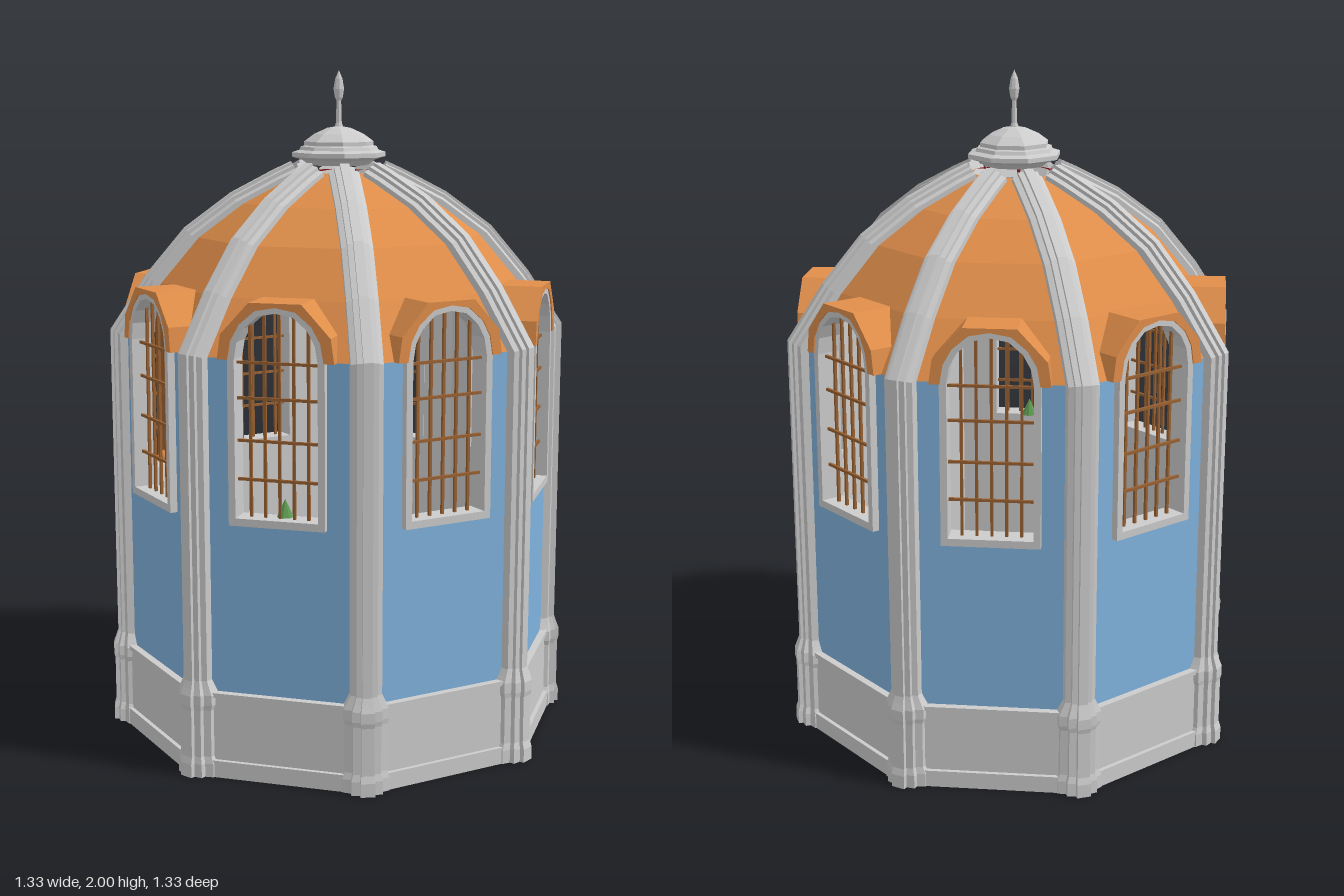
import * as THREE from 'three';

const grey = new THREE.MeshStandardMaterial({ color: 0xcccccc, flatShading: true });
const paint = (color, side = THREE.FrontSide) =>
  new THREE.MeshStandardMaterial({ color, side, flatShading: true });
const blue = paint(0x7fb2dd), orange = paint(0xe08e4a), copper = paint(0x9a6233);
const green = paint(0x5f9a52), red = paint(0xcc1f2a, THREE.BackSide);
const greyInside = paint(0xcccccc, THREE.BackSide);

const STEP = Math.PI / 4, TAN = Math.tan(STEP / 2), COS = Math.cos(STEP / 2);
const WALL = 0.61, SPRING = 1.22;
// Dome profile: [height, apothem]
const DOME = [[SPRING, WALL], [1.375, 0.515], [1.51, 0.41], [1.61, 0.285], [1.675, 0.17], [1.7, 0.12]];
const lowerDome = (y) => THREE.MathUtils.mapLinear(y, DOME[0][0], DOME[1][0], DOME[0][1], DOME[1][1]);

function add(parent, name, geometry, material, x = 0, y = 0, z = 0) {
  const mesh = new THREE.Mesh(geometry, material);
  mesh.name = name;
  mesh.position.set(x, y, z);
  parent.add(mesh);
  return mesh;
}

const shapeOf = (points) => new THREE.Shape(points.map(([x, y]) => new THREE.Vector2(x, y)));
const extrude = (shape, depth) => new THREE.ExtrudeGeometry(shape, { depth, bevelEnabled: false });

// Arch running from right spring to left spring
function arch(w, top) {
  const h = top - SPRING;
  const half = [[1, 0], [0.93, 0.37], [0.75, 0.67], [0.42, 0.93]].map(([a, b]) => [a * w, SPRING + b * h]);
  return [...half, [0, top], ...half.map(([x, y]) => [-x, y]).reverse()];
}
const windowOutline = (w, sill, top) => [[-w, sill], [w, sill], ...arch(w, top)];

// Sweeps a moulded section along [radius, height, scale] points in the z-y plane
const SECTION = [[-0.045, -0.04], [-0.045, 0.005], [-0.03, 0.012], [-0.03, 0.022], [-0.014, 0.025], [-0.014, 0.034],
  [0.014, 0.034], [0.014, 0.025], [0.03, 0.022], [0.03, 0.012], [0.045, 0.005], [0.045, -0.04]];
function sweep(path) {
  const pos = [], index = [], n = SECTION.length;
  const normal = (a, b) => new THREE.Vector2(b[1] - a[1], a[0] - b[0]).normalize();
  path.forEach(([r, y, s], i) => {
    const before = normal(path[Math.max(i - 1, 0)], path[Math.max(i, 1)]);
    const after = i < path.length - 1 ? normal(path[i], path[i + 1]) : before;
    const m = before.clone().add(after).normalize();
    m.divideScalar(m.dot(after));
    for (const [u, d] of SECTION) pos.push(u * s, y + m.y * d * s, r + m.x * d * s);
    if (i === 0) return;
    for (let j = 0; j < n; j++) {
      const k = (j + 1) % n, a = (i - 1) * n, b = i * n;
      index.push(a + j, a + k, b + k, a + j, b + k, b + j);
    }
  });
  // End caps
  const last = (path.length - 1) * n;
  for (const base of [0, last]) {
    const c = pos.length / 3;
    pos.push(0, (pos[base * 3 + 1] + pos[(base + n - 1) * 3 + 1]) / 2, pos[base * 3 + 2]);
    for (let j = 0; j < n - 1; j++) {
      if (base) index.push(c, base + j, base + j + 1);
      else index.push(c, j + 1, j);
    }
  }
  const g = new THREE.BufferGeometry();
  g.setAttribute('position', new THREE.Float32BufferAttribute(pos, 3));
  g.setIndex(index);
  g.computeVertexNormals();
  return g;
}

// One dome panel band, optionally notched for the window
function domeBand(i) {
  const [[y0, a0], [y1, a1]] = [DOME[i], DOME[i + 1]];
  const w0 = a0 * TAN, w1 = a1 * TAN;
  const points = [[w0, y0], [w1, y1], [-w1, y1], [-w0, y0]];
  if (i === 0) points.push(...arch(0.135, 1.368).reverse());
  const g = new THREE.ShapeGeometry(shapeOf(points));
  const p = g.attributes.position;
  for (let k = 0; k < p.count; k++) p.setZ(k, THREE.MathUtils.mapLinear(p.getY(k), y0, y1, a0, a1));
  g.computeVertexNormals();
  return g;
}

// Dormer hood whose back edge follows the dome
function hoodGeometry() {
  const outer = [[-0.168, SPRING], [-0.158, 1.29], [-0.075, 1.38], [0.075, 1.38], [0.158, 1.29], [0.168, SPRING]];
  const g = extrude(shapeOf([...outer, ...arch(0.138, 1.368)]), 1);
  const p = g.attributes.position;
  for (let k = 0; k < p.count; k++) p.setZ(k, p.getZ(k) > 0.5 ? 0.636 : lowerDome(p.getY(k)) - 0.012);
  g.computeVertexNormals();
  return g;
}

export function createModel() {
  const model = new THREE.Group();
  model.name = 'octagonalPavilion';

  const w = WALL * TAN;
  const wallShape = shapeOf([[-w, 0], [w, 0], [w, SPRING], [0.13, SPRING], [0.13, 0.76],
    [-0.13, 0.76], [-0.13, SPRING], [-w, SPRING]]);
  const wall = extrude(wallShape, 0.045);
  const lining = new THREE.ShapeGeometry(wallShape);
  const frameShape = shapeOf(windowOutline(0.14, 0.75, 1.37));
  frameShape.holes.push(shapeOf(windowOutline(0.12, 0.772, 1.352)));
  const frame = extrude(frameShape, 0.072);
  const hood = hoodGeometry();
  const bands = DOME.slice(1).map((_, i) => domeBand(i));

  // Eight sides
  for (let i = 0; i < 8; i++) {
    const side = new THREE.Group();
    side.name = 'side';
    side.rotation.y = i * STEP;
    model.add(side);
    add(side, 'wall', wall, blue, 0, 0, WALL - 0.045);
    add(side, 'wallLining', lining, greyInside, 0, 0, WALL - 0.047);
    add(side, 'plinth', new THREE.BoxGeometry(0.51, 0.24, 0.025), grey, 0, 0.122, 0.6125);
    add(side, 'plinthCap', new THREE.BoxGeometry(0.515, 0.014, 0.03), grey, 0, 0.245, 0.617);
    add(side, 'plinthFoot', new THREE.BoxGeometry(0.52, 0.05, 0.035), grey, 0, 0.025, 0.62);
    add(side, 'windowFrame', frame, grey, 0, 0, 0.56);
    add(side, 'dormerHood', hood, orange);
    for (const band of bands) {
      add(side, 'domePanel', band, orange);
      add(side, 'domeLining', band, red);
    }
    // Window grille
    for (let k = -2; k <= 2; k++) {
      const x = k * 0.042, top = SPRING + 0.135 * Math.sqrt(1 - (x / 0.125) ** 2);
      add(side, 'uprightBar', new THREE.BoxGeometry(0.008, top - 0.765, 0.008), copper, x, (top + 0.765) / 2, 0.598);
    }
    for (const y of [0.88, 0.99, 1.11, 1.21])
      add(side, 'crossBar', new THREE.BoxGeometry(0.25, 0.008, 0.008), copper, 0, y, 0.604);
  }

  // Corner piers running up into the dome ribs
  const R = WALL / COS - 0.002;
  const rib = sweep([[R, 0.25, 1], ...DOME.map(([y, a]) => [a / COS, y, 1])]);
  const pedestal = sweep([[0, 1.5], [0.04, 1.5], [0.06, 1.32], [0.2, 1.32], [0.215, 1.42], [0.245, 1.42],
    [0.265, 1.2], [0.285, 1]].map(([y, s]) => [R, y, s]));
  for (let i = 0; i < 8; i++) {
    const corner = new THREE.Group();
    corner.name = 'corner';
    corner.rotation.y = (i + 0.5) * STEP;
    model.add(corner);
    add(corner, 'pierAndRib', rib, grey);
    add(corner, 'pedestal', pedestal, grey);
  }

  // Floor
  add(model, 'floor', new THREE.CylinderGeometry(0.575 / COS, 0.575 / COS, 0.02, 8, 1, false, STEP / 2),
    grey, 0, 0.011, 0);

  // Crown and finial
  const lathe = (pts) => new THREE.LatheGeometry(pts.map(([r, y]) => new THREE.Vector2(r, y)), 8, STEP / 2);
  add(model, 'crown', lathe([[0, 1.72], [0.09, 1.72], [0.11, 1.735], [0.142, 1.745], [0.142, 1.758], [0.12, 1.765],
    [0.115, 1.775], [0.105, 1.778], [0.105, 1.79], [0.075, 1.812], [0.035, 1.83], [0, 1.836]]), grey);
  add(model, 'finial', lathe([[0.016, 1.825], [0.009, 1.845], [0.007, 1.91], [0.012, 1.92], [0.016, 1.945],
    [0.011, 1.975], [0, 2]]), grey);

  // Small ornaments on two sills
  add(model, 'greenOrnament', new THREE.ConeGeometry(0.026, 0.055, 8), green, 0.008, 0.796, 0.575);
  add(model, 'orangeOrnament', new THREE.SphereGeometry(0.03, 10, 8), orange, -0.575, 0.777, 0);

  return model;
}
